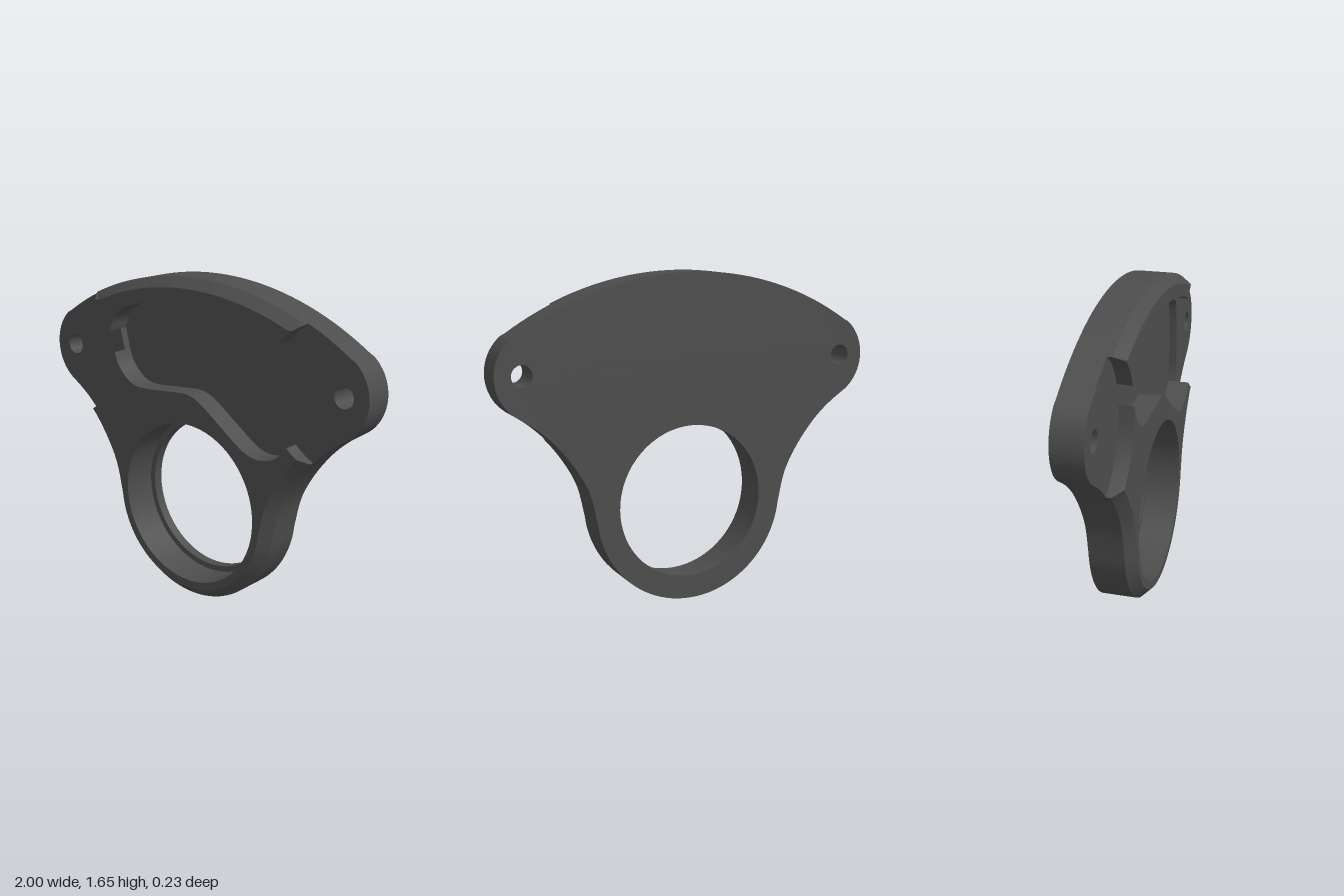
import * as THREE from 'three';
import { toCreasedNormals } from 'three/addons/utils/BufferGeometryUtils.js';

const V = (x, y) => new THREE.Vector2(x, y);
const BACK = -0.115, POCKET = 0, FLOOR = 0.04, SHOULDER = 0.065, FRONT = 0.115, CHAMFER = 0.05;
const EAR = V(0.867, 1.203), CUT = 0.37;   // screw hole centre, radius of the recess around it
const BORE = V(0, 0.51);

function arc(cx, cy, r, a0, a1, n) {
  return Array.from({ length: n + 1 }, (_, i) => {
    const a = a0 + (a1 - a0) * i / n;
    return V(cx + r * Math.cos(a), cy + r * Math.sin(a));
  });
}

function smooth(pairs, n) {
  const c = new THREE.CatmullRomCurve3(pairs.map(([x, y]) => new THREE.Vector3(x, y, 0)), false, 'centripetal');
  return c.getPoints(n).map(p => V(p.x, p.y));
}

// Mirrors a list across x = 0, reversing it so it continues the path
const mirror = pts => pts.map(p => V(-p.x, p.y)).reverse();

// Holes run anticlockwise, outlines clockwise
const hole = (c, side, r, n) => new THREE.Path(arc(side * c.x, c.y, r, 0, 2 * Math.PI, n).slice(0, -1));

// Arc of the ear recess between two points; side is +1 or -1
function earCut(from, to, side) {
  const angle = p => (Math.atan2(p.y - EAR.y, p.x - side * EAR.x) + 2 * Math.PI) % (2 * Math.PI);
  let a0 = angle(from), a1 = angle(to);
  if (a1 - a0 > Math.PI) a1 -= 2 * Math.PI;
  if (a0 - a1 > Math.PI) a1 += 2 * Math.PI;
  return arc(side * EAR.x, EAR.y, CUT, a0, a1, 8).slice(1, -1);
}

// Rim moved inwards by the chamfer, kept outside the ear recesses
function insetRim(rim) {
  const last = rim.length - 1;
  return rim.map((p, i) => {
    const t = rim[Math.min(i + 1, last)].clone().sub(rim[Math.max(i - 1, 0)]).normalize();
    const q = V(p.x + t.y * CHAMFER, p.y - t.x * CHAMFER);
    const ear = V(Math.sign(q.x) * EAR.x, EAR.y);
    const d = q.distanceTo(ear);
    return d < CUT || i === 0 || i === last ? q.sub(ear).multiplyScalar(CUT / d).add(ear) : q;
  });
}

// Raised layer between a chamfered rim and a pocket edge; sides gives the ear at each end of the rim
function raised(rim, edge, sides, holes) {
  const inset = insetRim(rim);
  const shape = new THREE.Shape([...inset,
    ...earCut(inset.at(-1), edge[0], sides[0]), ...edge,
    ...earCut(edge.at(-1), inset[0], sides[1])]);
  shape.holes.push(...holes);
  const geo = new THREE.ExtrudeGeometry(shape, { depth: 1, steps: 2, bevelEnabled: false });
  const pos = geo.attributes.position;
  for (let i = 0; i < pos.count; i++) {
    const level = Math.round(pos.getZ(i) * 2);
    pos.setZ(i, [FLOOR, SHOULDER, FRONT][level]);
    if (level === 2) continue;
    // Below the chamfer the rim keeps its full size
    const p = V(pos.getX(i), pos.getY(i));
    const k = inset.findIndex(r => r.distanceTo(p) < 1e-4);
    if (k >= 0) pos.setXY(i, rim[k].x, rim[k].y);
  }
  return geo;
}

export function createModel() {
  const group = new THREE.Group();
  const material = new THREE.MeshStandardMaterial({ color: 0x4d4d4d });
  const add = (name, geo) => {
    const mesh = new THREE.Mesh(toCreasedNormals(geo, 0.45), material);
    mesh.name = name;
    group.add(mesh);
  };

  // Right half of the outline, from top centre clockwise to bottom centre
  const tip = Math.atan2(1.165, 0.775);
  const crown = arc(0, 0.035, 1.62, Math.PI / 2, tip, 20);
  const ear = arc(0.775, 1.2, 0.225, tip, -0.953, 20);
  const flank = smooth([[0.905, 1.017], [0.80, 0.945], [0.712, 0.864], [0.615, 0.74], [0.545, 0.61], [0.506, 0.45]], 20);
  const ring = arc(BORE.x, BORE.y, 0.51, -0.118, -Math.PI / 2, 20);
  const half = [...crown, ...ear.slice(1), ...flank.slice(1), ...ring.slice(1)];

  // Pocket edge: top (right to left), bottom (left to right), right end (upwards)
  const pocketTop = smooth([[0.57, 1.425], [0.49, 1.458], [0.25, 1.513], [0, 1.533], [-0.2, 1.52], [-0.375, 1.484],
    [-0.45, 1.45], [-0.502, 1.395], [-0.522, 1.335]], 40);
  const pocketBottom = smooth([[-0.495, 1.225], [-0.47, 1.165], [-0.417, 1.105], [-0.365, 1.075], [-0.31, 1.066],
    [-0.15, 1.076], [-0.02, 1.085], [0.03, 1.078], [0.09, 1.05], [0.21, 0.965], [0.33, 0.88], [0.385, 0.851],
    [0.44, 0.84], [0.5, 0.848], [0.555, 0.872], [0.613, 0.935]], 60);
  const pocketEnd = smooth([[0.613, 0.935], [0.628, 1.0], [0.63, 1.08], [0.62, 1.32], [0.605, 1.385], [0.57, 1.425]], 20);
  const pocket = new THREE.Path([...pocketTop, ...pocketBottom, ...pocketEnd.slice(1, -1)]);

  // Base plate in two layers, the front one opened by the pocket
  const plate = (z0, z1, extraHoles) => {
    const shape = new THREE.Shape([...half, ...mirror(half).slice(1, -1)]);
    shape.holes.push(hole(BORE, 1, 0.42, 64), hole(EAR, 1, 0.052, 24), hole(EAR, -1, 0.052, 24), ...extraHoles);
    return new THREE.ExtrudeGeometry(shape, { depth: z1 - z0, bevelEnabled: false }).translate(0, 0, z0);
  };
  add('backPlate', plate(BACK, POCKET, []));
  add('pocketPlate', plate(POCKET, FLOOR, [pocket]));

  // Narrow lip at the back of the bore
  const lip = new THREE.LatheGeometry([V(0.42, 0.05), V(0.39, 0.05), V(0.39, 0), V(0.42, 0)], 64);
  add('boreLip', lip.rotateX(Math.PI / 2).translate(BORE.x, BORE.y, BACK));

  // Upper raised band between the crown and the pocket
  const a = Math.acos(0.665 / 1.62);
  const topRim = arc(0, 0.035, 1.62, Math.PI - a, a, 30);
  add('upperBand', raised(topRim, pocketTop, [1, -1], []));

  // Lower raised body around the bore, from one ear recess to the other
  const rimHalf = [...flank.slice(8), ...ring.slice(1)];
  const lowRim = [...rimHalf, ...mirror(rimHalf).slice(1)];
  add('lowerBody', raised(lowRim, pocketBottom, [-1, 1], [hole(BORE, 1, 0.42, 64)]));

  return group;
}
